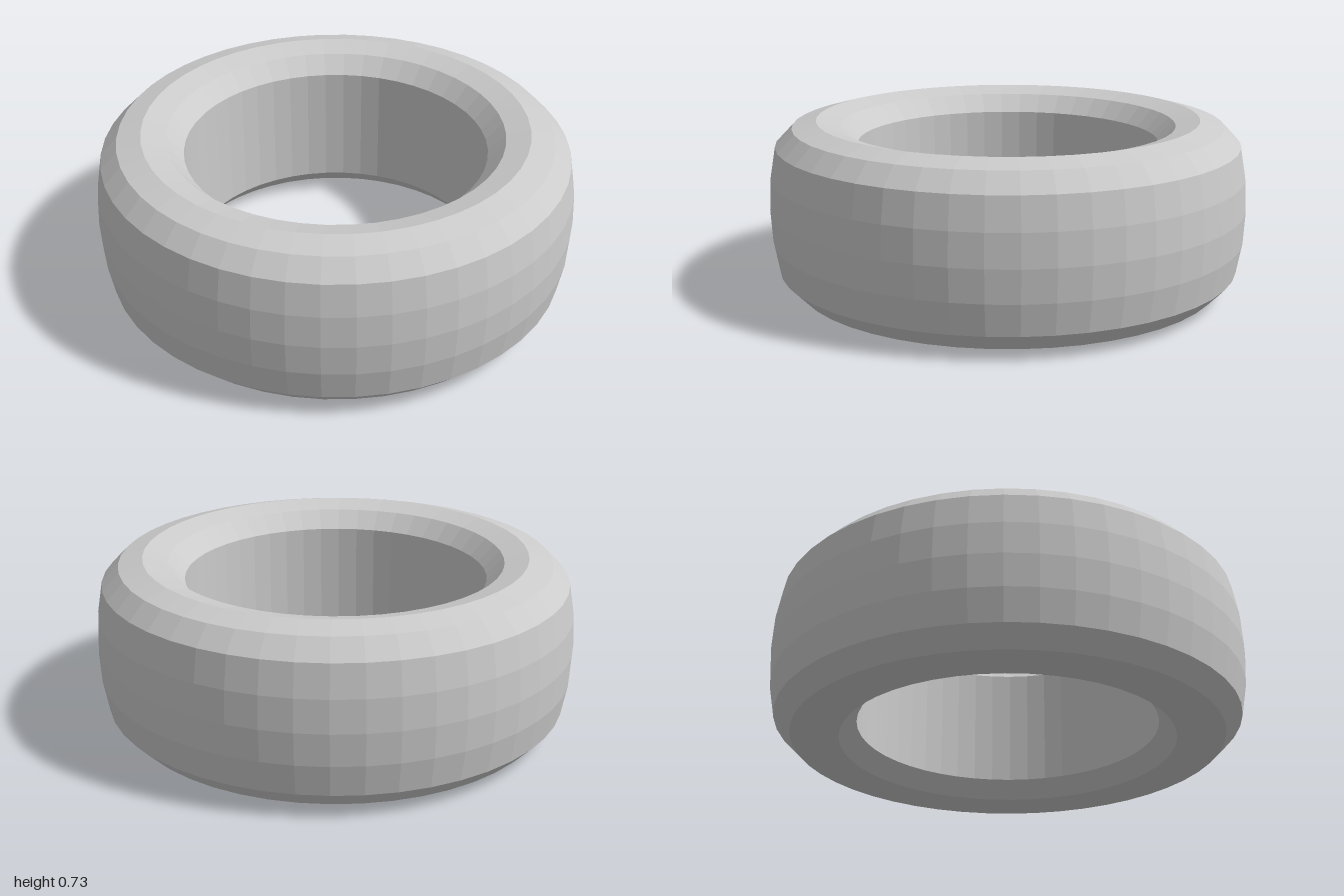
import * as THREE from 'three';

export function createModel() {
  const group = new THREE.Group();
  const height = 0.725;

  // Lower half of the tyre section [radius, y], from bore edge out to the tread
  const lower = [
    [0.63, 0.1], [0.7, 0.027], [0.8, 0], [0.9, 0.027], [0.97, 0.1], [0.993, 0.23],
  ];
  // Mirror it about mid height and close the section along the straight bore
  const upper = lower.map(([r, y]) => [r, height - y]).reverse();
  const section = [...lower, [1, height / 2], ...upper, lower[0]]
    .map(([r, y]) => new THREE.Vector2(r, y));

  const tyre = new THREE.Mesh(
    new THREE.LatheGeometry(section, 48),
    new THREE.MeshStandardMaterial({ color: 0xcccccc, flatShading: true }),
  );
  tyre.name = 'tyre';
  group.add(tyre);
  return group;
}
